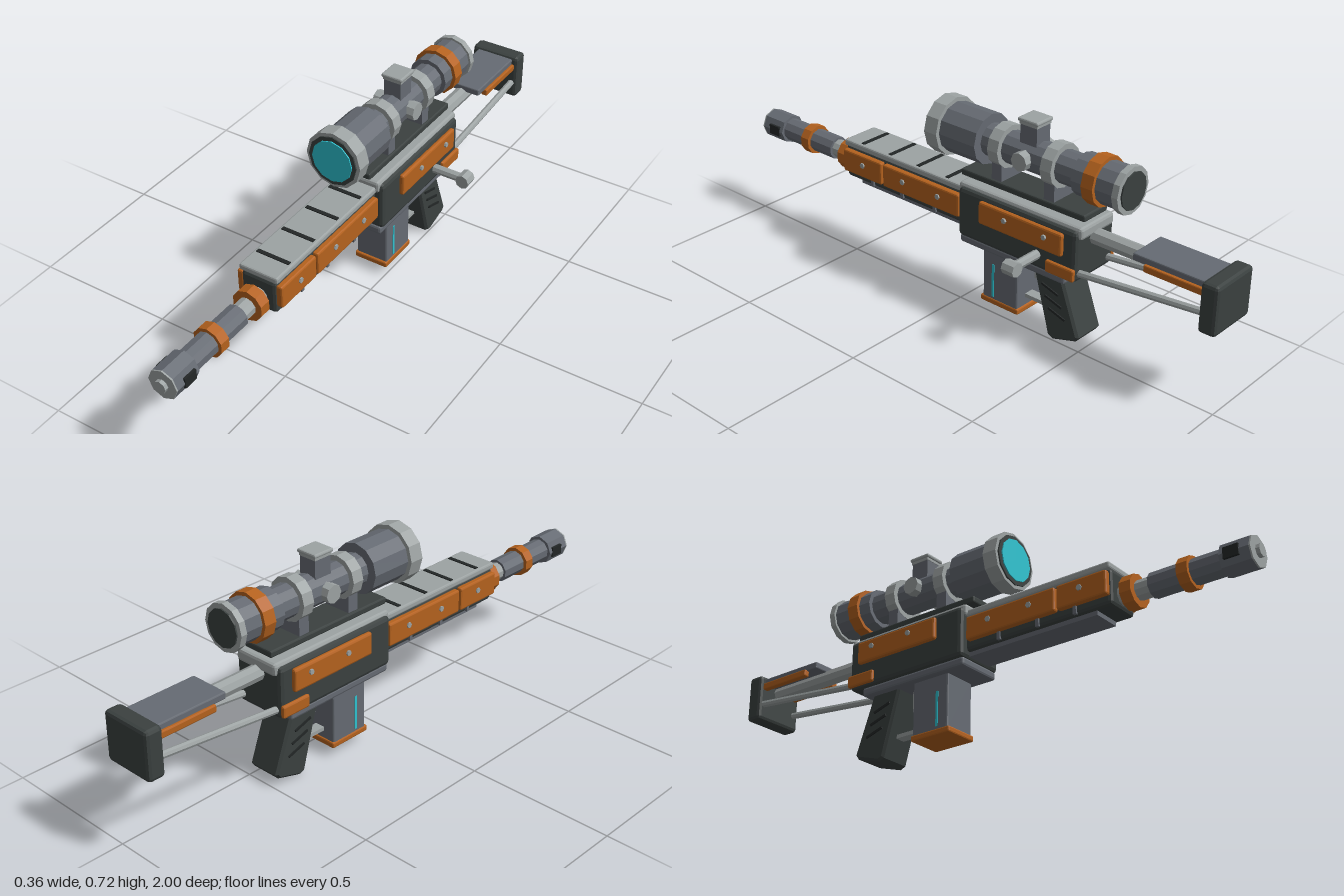
import * as THREE from 'three';
import { RoundedBoxGeometry } from 'three/addons/geometries/RoundedBoxGeometry.js';

const CX = -0.06; // centre plane of the rifle

export function createModel() {
  const model = new THREE.Group();
  model.name = 'rifle';

  const colour = (name, hex) => {
    const m = new THREE.MeshStandardMaterial({ color: hex });
    m.name = name;
    return m;
  };
  const light = colour('light metal', 0x9da3a3);
  const grey = colour('steel grey', 0x666b73);
  const dark = colour('dark polymer', 0x3b4140);
  const black = colour('slot black', 0x232727);
  const orange = colour('orange', 0xb5621e);
  const cyan = colour('cyan glass', 0x2ec4d2);

  const add = (name, geo, mat) => {
    const flat = geo.index ? geo.toNonIndexed() : geo;
    flat.computeVertexNormals();
    const mesh = new THREE.Mesh(flat, mat);
    mesh.name = name;
    model.add(mesh);
    return mesh;
  };
  // Box given by its extents; x is measured from the centre plane, c is the edge chamfer
  const box = (name, mat, [x0, x1], [y0, y1], [z0, z1], c = 0) => {
    const s = [x1 - x0, y1 - y0, z1 - z0];
    const g = c ? new RoundedBoxGeometry(...s, 1, c) : new THREE.BoxGeometry(...s);
    g.translate(CX + (x0 + x1) / 2, (y0 + y1) / 2, (z0 + z1) / 2);
    return add(name, g, mat);
  };
  // Cylinder along z on the centre plane, from z0 (rear) to z1 (front)
  const tube = (name, mat, y, z0, z1, r, sides = 12, rRear = r) => {
    const g = new THREE.CylinderGeometry(r, rRear, z1 - z0, sides);
    g.rotateX(Math.PI / 2).translate(CX, y, (z0 + z1) / 2);
    return add(name, g, mat);
  };
  // Rod between two points
  const rod = (name, mat, a, b, r, sides = 8) => {
    const p = new THREE.Vector3(...a), q = new THREE.Vector3(...b);
    const d = q.clone().sub(p);
    const g = new THREE.CylinderGeometry(r, r, d.length(), sides);
    g.applyQuaternion(new THREE.Quaternion().setFromUnitVectors(new THREE.Vector3(0, 1, 0), d.normalize()));
    g.translate((p.x + q.x) / 2, (p.y + q.y) / 2, (p.z + q.z) / 2);
    return add(name, g, mat);
  };
  const span = (s, a, b) => (s > 0 ? [a, b] : [-b, -a]); // mirrored x extent

  // Receiver
  box('receiver', dark, [-0.095, 0.095], [0.26, 0.435], [-0.5, -0.02], 0.014);
  box('receiverTop', light, [-0.082, 0.082], [0.405, 0.447], [-0.51, -0.012], 0.01);
  box('receiverBase', grey, [-0.084, 0.084], [0.232, 0.262], [-0.45, -0.02], 0.008);

  // Handguard
  box('handguard', dark, [-0.064, 0.064], [0.285, 0.405], [-0.03, 0.53], 0.012);
  box('handguardRail', light, [-0.071, 0.071], [0.403, 0.426], [-0.02, 0.53], 0.006);
  box('handguardUnderPlate', grey, [-0.05, 0.05], [0.27, 0.287], [-0.03, 0.47]);
  for (const z of [0.06, 0.19, 0.32, 0.45])
    box('railSlot', black, [-0.06, 0.06], [0.422, 0.429], [z - 0.007, z + 0.007]);

  // Side panels, bolts and pins, mirrored
  for (const s of [1, -1]) {
    box('handguardFrontPanel', orange, span(s, 0.06, 0.084), [0.313, 0.394], [0.343, 0.525], 0.006);
    box('handguardRearPanel', orange, span(s, 0.06, 0.084), [0.313, 0.394], [-0.01, 0.335], 0.006);
    box('receiverPanel', orange, span(s, 0.092, 0.111), [0.342, 0.42], [-0.455, -0.12], 0.007);
    box('receiverRearPanel', orange, span(s, 0.09, 0.106), [0.268, 0.31], [-0.5, -0.39], 0.006);
    for (const z of [0.43, 0.24, 0.08])
      rod('handguardBolt', light, [CX + s * 0.08, 0.36, z], [CX + s * 0.089, 0.36, z], 0.01, 6);
    for (const z of [-0.23, -0.39])
      rod('receiverBolt', light, [CX + s * 0.105, 0.391, z], [CX + s * 0.118, 0.391, z], 0.009, 6);
    for (const z of [0.4, 0.26, 0.11])
      box('handguardRib', grey, span(s, 0.06, 0.07), [0.287, 0.313], [z - 0.006, z + 0.006]);
  }

  // Barrel and muzzle
  const by = 0.333;
  tube('barrelRoot', light, by, 0.5, 0.65, 0.032, 10);
  tube('barrelRearBand', orange, by, 0.55, 0.59, 0.055, 10);
  tube('barrelSleeve', grey, by, 0.64, 0.9, 0.041, 10);
  tube('barrelFrontBand', orange, by, 0.745, 0.782, 0.053, 10);
  tube('muzzle', grey, by, 0.885, 0.982, 0.052, 8);
  tube('muzzleFace', light, by, 0.982, 0.987, 0.052, 8);
  tube('muzzleBore', light, by, 0.985, 1.0, 0.021, 8);
  for (const s of [1, -1])
    box('muzzlePort', black, span(s, 0.03, 0.053), [by - 0.018, by + 0.018], [0.9, 0.95]);

  // Scope
  const sy = 0.588;
  tube('scopeFrontRim', light, sy, 0.07, 0.122, 0.1);
  tube('scopeFrontRing', dark, sy, 0.12, 0.127, 0.088);
  tube('scopeLens', cyan, sy, 0.125, 0.131, 0.074);
  tube('scopeBell', grey, sy, -0.08, 0.075, 0.086);
  tube('scopeTube', grey, sy, -0.46, -0.07, 0.055);
  tube('scopeEyepiece', grey, sy, -0.62, -0.45, 0.07);
  tube('scopeEyepieceBand', orange, sy, -0.54, -0.497, 0.082);
  tube('scopeRearRim', light, sy, -0.629, -0.607, 0.078);
  tube('scopeRearLens', dark, sy, -0.634, -0.628, 0.062);
  for (const z of [-0.143, -0.355]) {
    tube('scopeRing', light, sy, z - 0.021, z + 0.021, 0.073);
    box('scopeRingFoot', grey, [-0.049, 0.049], [0.475, 0.54], [z - 0.02, z + 0.02]);
  }
  box('scopeMountRail', dark, [-0.057, 0.057], [0.457, 0.48], [-0.5, 0], 0.005);
  box('scopeTurret', grey, [-0.032, 0.032], [0.62, 0.7], [-0.288, -0.222]);
  box('scopeTurretCap', light, [-0.039, 0.039], [0.703, 0.716], [-0.295, -0.215], 0.005);
  box('scopeTurretCapBase', light, [-0.034, 0.034], [0.694, 0.706], [-0.29, -0.22]);
  rod('scopeSideKnob', light, [CX - 0.078, sy, -0.255], [CX + 0.078, sy, -0.255], 0.031, 8);

  // Bolt handle on the left side
  rod('boltHandle', light, [0.02, 0.31, -0.35], [0.15, 0.31, -0.35], 0.016);
  rod('boltKnob', light, [0.154, 0.311, -0.373], [0.154, 0.311, -0.327], 0.025);

  // Magazine
  box('magazine', grey, [-0.06, 0.06], [0.045, 0.24], [-0.245, -0.1], 0.006);
  box('magazineBase', orange, [-0.063, 0.063], [0.031, 0.052], [-0.25, -0.092], 0.005);
  for (const s of [1, -1])
    box('magazineStripe', cyan, span(s, 0.058, 0.062), [0.06, 0.18], [-0.148, -0.139]);

  // Trigger and guard
  box('triggerGuard', light, [-0.018, 0.018], [0.08, 0.093], [-0.36, -0.24]);
  box('trigger', light, [-0.01, 0.01], [0.16, 0.24], [-0.29, -0.275]);

  // Pistol grip: side outline extruded across x, with ridges on both sides
  const outline = new THREE.Shape(
    [[-0.312, 0.25], [-0.41, 0.25], [-0.486, 0.045], [-0.478, 0.034], [-0.392, 0.008], [-0.378, 0.014]]
      .map(([z, y]) => new THREE.Vector2(-z, y)));
  const grip = new THREE.ExtrudeGeometry(outline, {
    depth: 0.104, bevelEnabled: true, bevelSize: 0.008, bevelThickness: 0.008, bevelSegments: 1 });
  grip.translate(0, 0, -0.052).rotateY(Math.PI / 2).translate(CX, 0, 0);
  add('grip', grip, dark);
  for (let i = 0; i < 3; i++) {
    const z = -0.41 + i * 0.015, y = 0.102 + i * 0.04;
    for (const s of [1, -1]) {
      const ridge = new THREE.BoxGeometry(0.008, 0.008, 0.07);
      ridge.rotateX(-0.3).translate(CX + s * 0.06, y, z);
      add('gripRidge', ridge, black);
    }
  }

  // Stock
  rod('stockTube', light, [CX, 0.393, -0.49], [CX, 0.393, -0.95], 0.027);
  box('cheekRest', grey, [-0.07, 0.07], [0.408, 0.432], [-0.945, -0.69], 0.004);
  for (const s of [1, -1]) {
    box('cheekRestSide', orange, span(s, 0.058, 0.08), [0.388, 0.412], [-0.945, -0.735], 0.004);
    rod('stockStrut', light, [CX + s * 0.072, 0.288, -0.49], [CX + s * 0.072, 0.335, -0.95], 0.012);
  }
  box('buttPad', dark, [-0.093, 0.093], [0.275, 0.441], [-1.0, -0.94], 0.012);

  return model;
}
